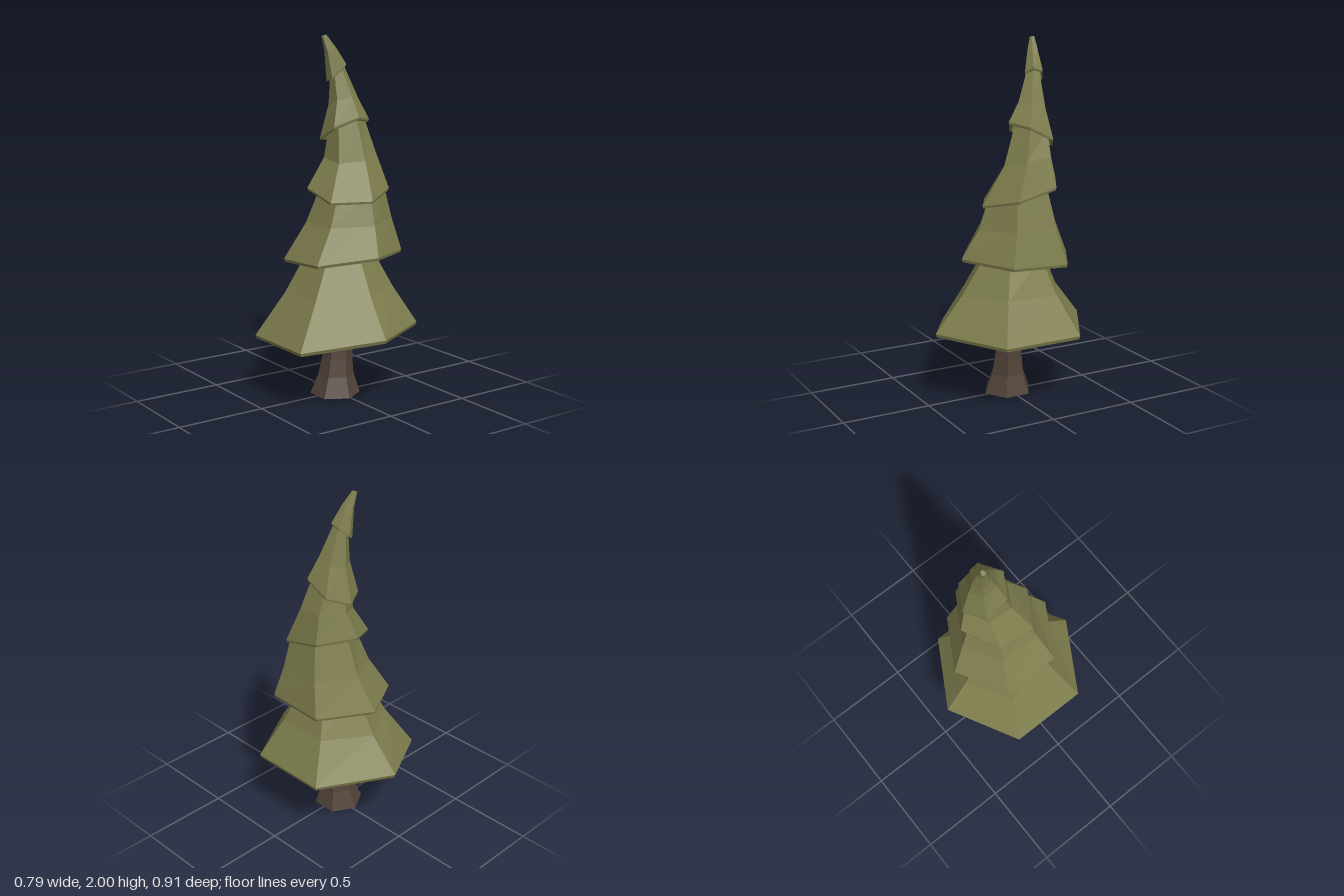
import * as THREE from 'three';

const SIDES = 6;
const foliageMat = new THREE.MeshStandardMaterial({ color: 0x7f7e4e, flatShading: true });
const barkMat = new THREE.MeshStandardMaterial({ color: 0x52443a, flatShading: true });

// Hexagonal ring with a corner at the front, tilted by two slopes;
// droop lowers the corners at either side
function ring([cx, cy, cz, r, slopeX = 0, slopeZ = 0], droop = 0) {
  return Array.from({ length: SIDES }, (_, k) => {
    const a = (k / SIDES) * Math.PI * 2;
    const x = r * Math.sin(a), z = r * Math.cos(a);
    return new THREE.Vector3(cx + x, cy + slopeX * x + slopeZ * z - droop * x * x, cz + z);
  });
}

// Copy of a ring, shrunk about its centre and lowered
function shrink(points, s, drop) {
  const c = new THREE.Vector3();
  points.forEach((p) => c.addScaledVector(p, 1 / SIDES));
  return points.map((p) => {
    const q = p.clone().sub(c).multiplyScalar(s).add(c);
    q.y -= drop;
    return q;
  });
}

// Skin a series of rings with faceted quads
function loft(rings, material, name) {
  const pos = [];
  for (let i = 0; i < rings.length - 1; i++) {
    for (let k = 0; k < SIDES; k++) {
      const n = (k + 1) % SIDES;
      const a = rings[i][k], b = rings[i][n], c = rings[i + 1][n], d = rings[i + 1][k];
      for (const p of [a, b, c, a, c, d]) pos.push(p.x, p.y, p.z);
    }
  }
  const geo = new THREE.BufferGeometry();
  geo.setAttribute('position', new THREE.Float32BufferAttribute(pos, 3));
  geo.computeVertexNormals();
  const mesh = new THREE.Mesh(geo, material);
  mesh.name = name;
  return mesh;
}

// Hollow skirt: down the inside, around the lip and back up the outside
function makeTier(name, rim, mid, top, closed = false) {
  const lip = 0.008 + 0.024 * rim[3];
  const outer = ring(rim, 0.22), midRing = ring(mid), topRing = ring(top);
  const innerTop = shrink(topRing, closed ? 0 : 0.86, 0);
  return loft([
    innerTop,
    shrink(midRing, 0.88, 0.01),
    shrink(outer, 0.91, lip),
    shrink(outer, 0.985, lip),
    outer,
    midRing,
    topRing,
    innerTop,
  ], foliageMat, name);
}

export function createModel() {
  const tree = new THREE.Group();
  tree.name = 'coniferTree';

  // Flared trunk that bends along with the branches, capped at both ends
  const trunkRings = [
    [-0.012, 0, 0, 0], [-0.012, 0, 0, 0.14], [-0.006, 0.11, 0, 0.1], [0.003, 0.21, 0, 0.085],
    [0.02, 0.4, 0, 0.078], [0.05, 0.8, -0.01, 0.062], [0.1, 1.2, -0.04, 0.045],
    [0.085, 1.76, -0.11, 0.015], [0.085, 1.76, -0.11, 0],
  ].map((r) => ring(r));
  tree.add(loft(trunkRings, barkMat, 'trunk'));

  // Branch tiers: rim, middle and top rings (centre x, y, z, radius, slopes)
  tree.add(
    makeTier('lowestBranches', [0, 0.405, -0.003, 0.455, 0.07],
      [0.015, 0.6, 0, 0.3, 0.05], [0.03, 0.8, 0, 0.19, 0.02, -0.15]),
    makeTier('lowerBranches', [0.052, 0.807, -0.015, 0.33, 0.05, 0.045],
      [0.09, 0.98, -0.01, 0.24, 0.05], [0.1, 1.17, -0.005, 0.18, 0.2, -0.1]),
    makeTier('middleBranches', [0.092, 1.168, -0.02, 0.228, 0.13, -0.25],
      [0.125, 1.34, -0.05, 0.145, 0.2, -0.15], [0.117, 1.51, -0.075, 0.1, 0.2, 0.3]),
    makeTier('upperBranches', [0.109, 1.488, -0.08, 0.137, 0.15, 0.5],
      [0.107, 1.635, -0.087, 0.083, 0.05, 0.3], [0.08, 1.81, -0.108, 0.04, 0.3, 0.2]),
    makeTier('tip', [0.078, 1.797, -0.114, 0.055, 0.75, 0.3],
      [0.044, 1.92, -0.125, 0.032, 0.4], [0.013, 1.995, -0.14, 0.014, 0.35], true),
  );
  return tree;
}
